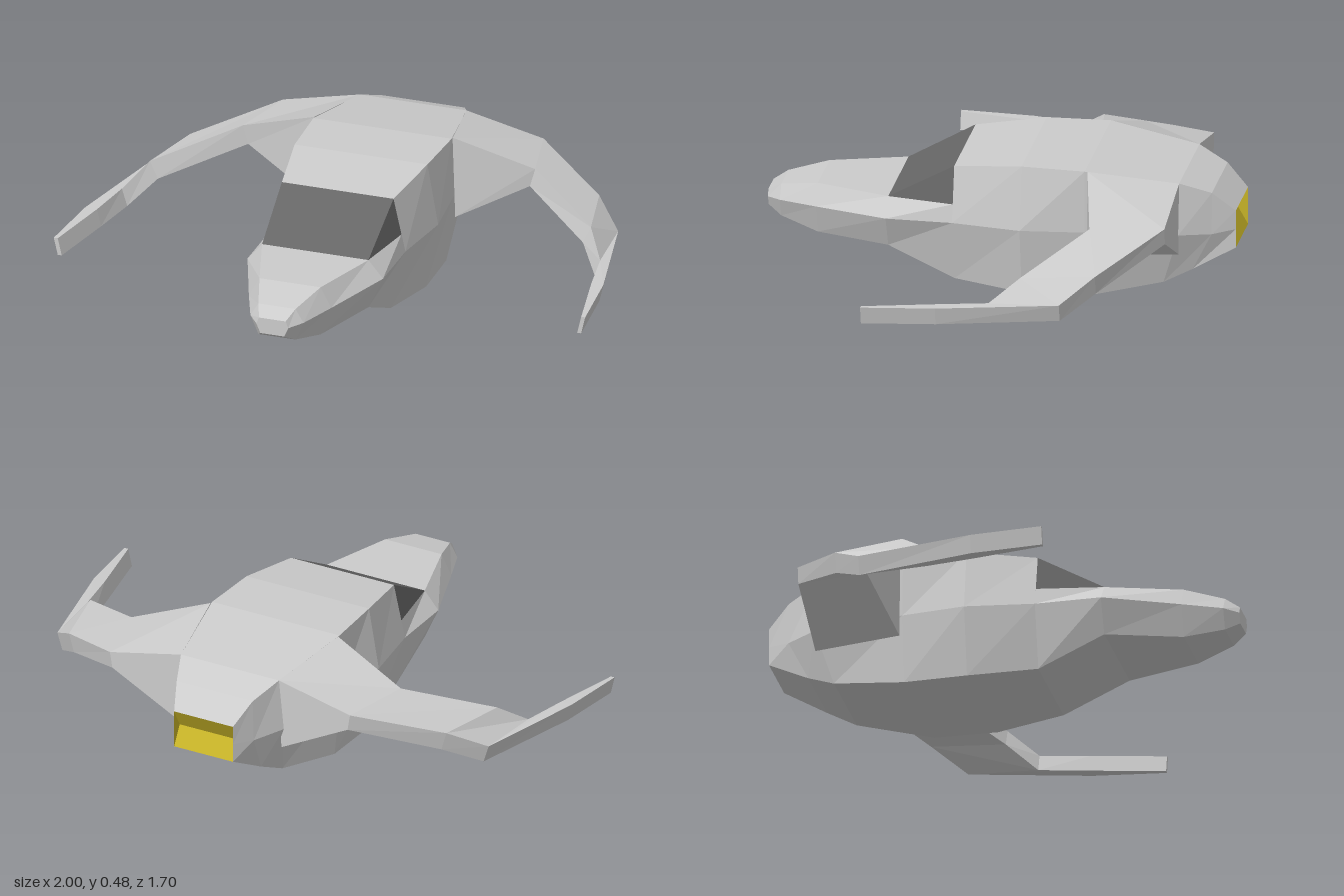
import * as THREE from 'three';

const grey = new THREE.MeshStandardMaterial({ color: 0xcccccc, flatShading: true });
const darkGlass = new THREE.MeshStandardMaterial({ color: 0x666666, flatShading: true });
const glow = new THREE.MeshStandardMaterial({ color: 0xc8b428, flatShading: true, side: THREE.DoubleSide });

// Skins a list of rings; each ring runs counter-clockwise seen from the first end.
function skin(name, rings, material, { closed = true, caps = true } = {}) {
  const pos = [];
  const tri = (...corners) => corners.forEach((p) => pos.push(...p));
  const n = rings[0].length;
  for (let i = 0; i < rings.length - 1; i++) {
    for (let j = 0; j < (closed ? n : n - 1); j++) {
      const k = (j + 1) % n;
      const a = rings[i][j], b = rings[i][k], c = rings[i + 1][k], d = rings[i + 1][j];
      tri(a, d, c);
      tri(a, c, b);
    }
  }
  if (caps) {
    const first = rings[0], last = rings[rings.length - 1];
    for (let j = 1; j < n - 1; j++) {
      tri(first[0], first[j], first[j + 1]);
      tri(last[0], last[j + 1], last[j]);
    }
  }
  const geometry = new THREE.BufferGeometry();
  geometry.setAttribute('position', new THREE.Float32BufferAttribute(pos, 3));
  geometry.computeVertexNormals();
  const mesh = new THREE.Mesh(geometry, material);
  mesh.name = name;
  return mesh;
}

const mirror = ([x, y, z]) => [-x, y, z];
// Completes a half section (listed bottom to top) with its mirrored half.
const symmetric = (half) => [...half, ...half.map(mirror).reverse()];

export function createModel() {
  const model = new THREE.Group();
  model.name = 'spacecraft';

  // Nose: z, then half width and height of the bottom, middle and deck edges
  const nose = [
    [0.85, 0.045, 0.195, 0.06, 0.23, 0.05, 0.255],
    [0.80, 0.07, 0.165, 0.10, 0.235, 0.07, 0.285],
    [0.66, 0.115, 0.13, 0.155, 0.24, 0.115, 0.315],
    [0.39, 0.20, 0.13, 0.255, 0.25, 0.20, 0.315],
    [0.15, 0.20, 0.02, 0.255, 0.25, 0.24, 0.315],
  ].map(([z, bx, by, mx, my, tx, ty]) => symmetric([[bx, by, z], [mx, my, z], [tx, ty, z]]));
  model.add(skin('nose', nose, grey));

  // Main hull: bottom, middle and top edge of each section
  const hull = [
    [[0.20, 0.02, 0.15], [0.255, 0.25, 0.15], [0.21, 0.45, 0.15]],
    [[0.245, 0, -0.10], [0.29, 0.25, -0.10], [0.25, 0.48, -0.10]],
    [[0.24, 0, -0.33], [0.265, 0.25, -0.33], [0.26, 0.48, -0.33]],
    [[0.18, 0.05, -0.60], [0.22, 0.245, -0.66], [0.20, 0.435, -0.66]],
    [[0.15, 0.095, -0.70], [0.16, 0.235, -0.77], [0.155, 0.39, -0.77]],
    [[0.12, 0.175, -0.85], [0.12, 0.245, -0.85], [0.12, 0.315, -0.85]],
  ].map(symmetric);
  model.add(skin('hull', hull, grey, { caps: false }));

  // Canopy: a dark wedge between the nose deck and the hull top
  const canopy = [
    [[0.20, 0.315, 0.39], [0.20, 0.315, 0.39]],
    [[0.24, 0.315, 0.15], [0.21, 0.45, 0.15]],
  ].map(symmetric);
  model.add(skin('canopy', canopy, darkGlass));

  // Engine exhaust: a shallow V-shaped recess closing the tail
  const exhaust = [[0.315, -0.85], [0.245, -0.81], [0.175, -0.85]].map(([y, z]) => [
    [-0.12, y, -0.85], [-0.12, y, z], [0.12, y, z], [0.12, y, -0.85],
  ]);
  model.add(skin('engineExhaust', exhaust, glow, { closed: false, caps: false }));

  // Wings: front bottom, front top, back top and back bottom from root to tip
  const wing = [
    [[0.27, 0.17, -0.34], [0.26, 0.48, -0.34], [0.20, 0.435, -0.66], [0.21, 0.17, -0.66]],
    [[0.53, 0.305, -0.40], [0.55, 0.375, -0.40], [0.49, 0.37, -0.66], [0.48, 0.31, -0.66]],
    [[0.80, 0.215, -0.20], [0.83, 0.28, -0.20], [0.77, 0.28, -0.46], [0.75, 0.21, -0.46]],
    [[0.88, 0.14, -0.10], [0.90, 0.205, -0.10], [0.88, 0.205, -0.35], [0.86, 0.14, -0.35]],
    [[0.915, 0.135, 0.08], [0.93, 0.20, 0.08], [0.975, 0.20, 0.08], [0.96, 0.135, 0.08]],
    [[0.97, 0.13, 0.345], [0.985, 0.195, 0.345], [1.0, 0.195, 0.345], [0.985, 0.13, 0.345]],
  ];
  model.add(skin('leftWing', wing, grey));
  model.add(skin('rightWing', wing.map((ring) => ring.map(mirror).reverse()), grey));

  return model;
}
